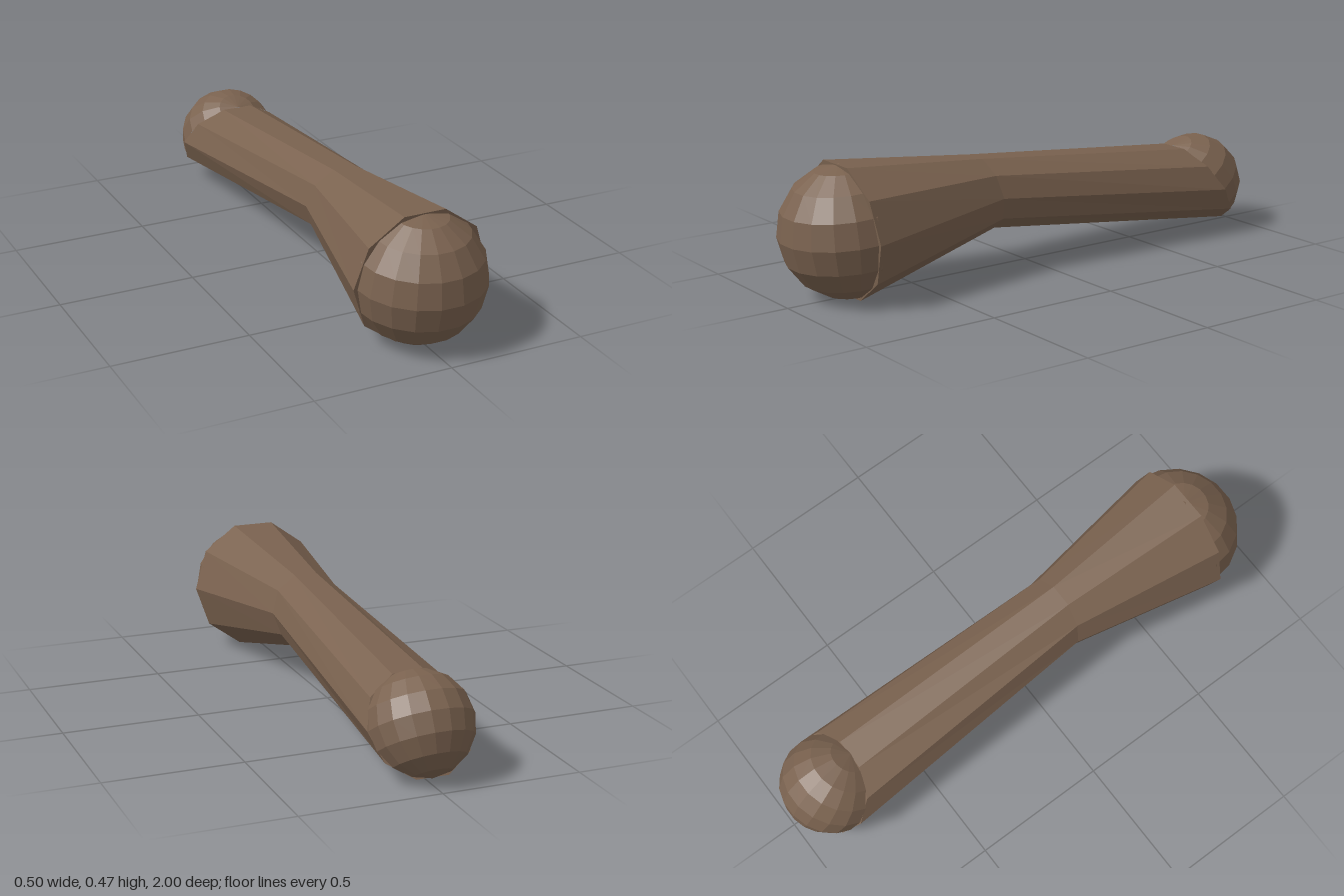
import * as THREE from 'three';

const SIDES = 10;
const deg = THREE.MathUtils.degToRad;

// Tilted cross-sections from the thick front end to the thin back end
const RINGS = [
  { y: 0.24, z: 0.78, r: 0.25, tilt: deg(5) },
  { y: 0.29, z: 0.195, r: 0.14, tilt: deg(11) },
  { y: 0.18, z: -0.82, r: 0.19, tilt: deg(34) },
];

// Skin the rings into one closed faceted shaft
function loftRings(rings) {
  const positions = [];
  const index = [];
  for (const { y, z, r, tilt } of rings) {
    for (let i = 0; i < SIDES; i++) {
      const a = (i / SIDES) * Math.PI * 2;
      const up = r * Math.sin(a);
      positions.push(r * Math.cos(a), y + up * Math.cos(tilt), z + up * Math.sin(tilt));
    }
  }
  for (let k = 0; k < rings.length - 1; k++) {
    for (let i = 0; i < SIDES; i++) {
      const j = (i + 1) % SIDES;
      const f = k * SIDES;
      const b = f + SIDES;
      index.push(f + i, b + i, f + j, b + i, b + j, f + j);
    }
  }
  // End caps
  const last = (rings.length - 1) * SIDES;
  for (let i = 1; i < SIDES - 1; i++) {
    index.push(0, i, i + 1, last, last + i + 1, last + i);
  }
  const geometry = new THREE.BufferGeometry();
  geometry.setAttribute('position', new THREE.Float32BufferAttribute(positions, 3));
  geometry.setIndex(index);
  const flat = geometry.toNonIndexed();
  flat.computeVertexNormals();
  return flat;
}

export function createModel() {
  const model = new THREE.Group();
  model.name = 'limb';
  const brown = new THREE.MeshStandardMaterial({ color: 0x7a624f, flatShading: true });
  brown.name = 'brown';

  const add = (name, geometry) => {
    const mesh = new THREE.Mesh(geometry, brown);
    mesh.name = name;
    model.add(mesh);
    return mesh;
  };

  add('shaft', loftRings(RINGS));

  // Half-sphere joints, their poles lying in the plane of the end rings
  const addJoint = (name, radius, phiStart, y, z, tilt) => {
    const joint = add(name, new THREE.SphereGeometry(radius, 9, 8, phiStart, Math.PI));
    joint.position.set(0, y, z);
    joint.rotation.x = tilt;
  };
  addJoint('frontJoint', 0.238, 0, 0.24, 0.764, RINGS[0].tilt);
  addJoint('backJoint', 0.185, Math.PI, 0.18, -0.818, RINGS[2].tilt);

  return model;
}
